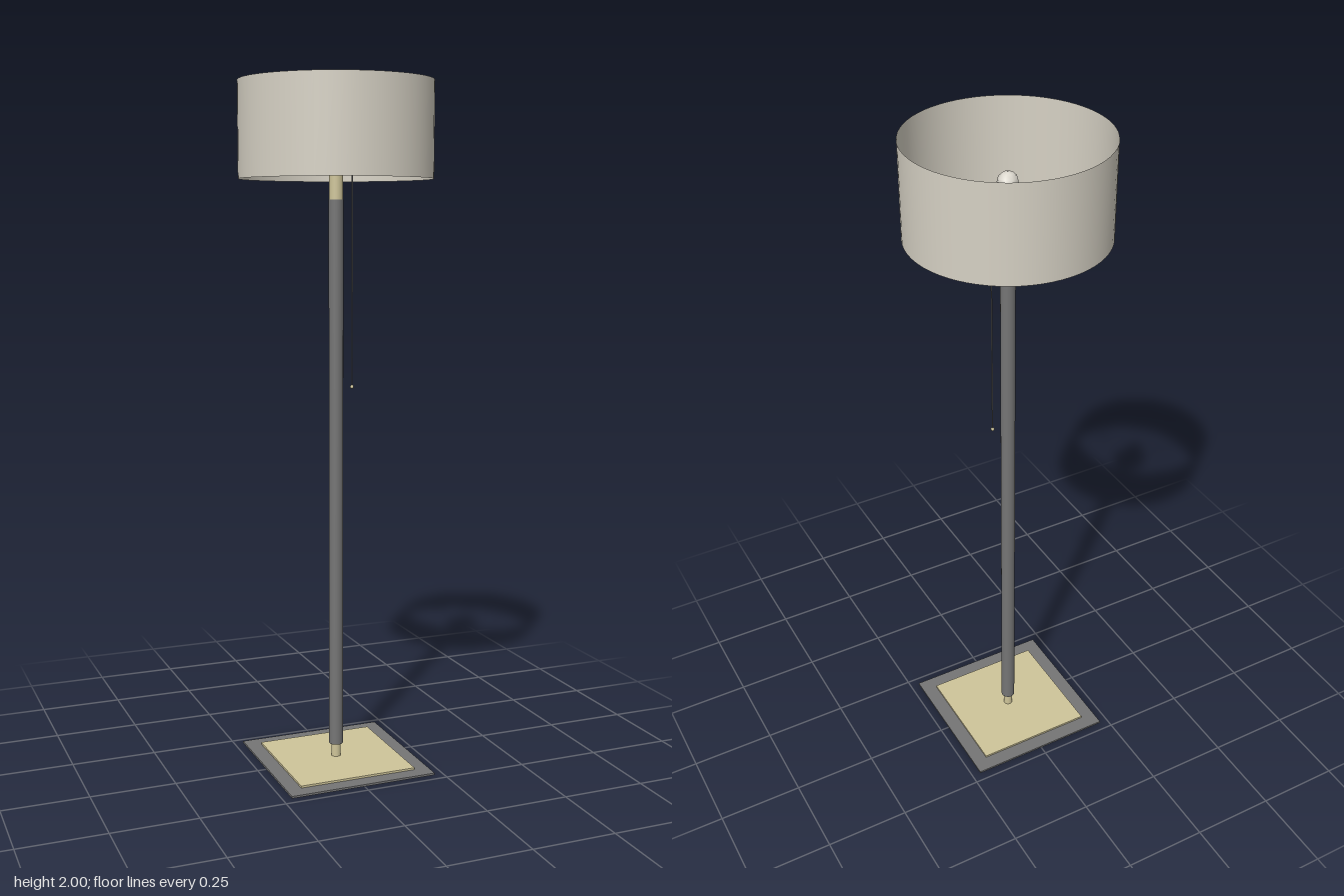
import * as THREE from 'three';

export function createModel() {
  const group = new THREE.Group();
  const material = (name, color, side = THREE.FrontSide) => {
    const m = new THREE.MeshStandardMaterial({ color, side });
    m.name = name;
    return m;
  };
  const darkMetal = material('dark metal', 0x757575);
  const brass = material('brass', 0xcfc59a, THREE.DoubleSide);
  const fabric = material('shade fabric', 0xd6d1c4, THREE.DoubleSide);
  const glass = material('bulb glass', 0xdad6cc);

  const add = (name, geometry, mat, x = 0, y = 0, z = 0) => {
    const mesh = new THREE.Mesh(geometry, mat);
    mesh.name = name;
    mesh.position.set(x, y, z);
    group.add(mesh);
    return mesh;
  };
  // Upright rod between two heights
  const rod = (name, radius, y0, y1, mat, x = 0, sides = 20) =>
    add(name, new THREE.CylinderGeometry(radius, radius, y1 - y0, sides), mat, x, (y0 + y1) / 2);
  const lathe = (points, sides) =>
    new THREE.LatheGeometry(points.map(([r, y]) => new THREE.Vector2(r, y)), sides);

  // Square foot with a brass inlay plate
  add('basePlate', new THREE.BoxGeometry(0.446, 0.006, 0.446), darkMetal, 0, 0.003);
  add('baseInlay', new THREE.BoxGeometry(0.357, 0.006, 0.357), brass, 0, 0.009);

  // Pole with brass collars
  rod('lowerCollar', 0.014, 0.012, 0.052, brass);
  rod('pole', 0.021, 0.052, 1.67, darkMetal);
  rod('upperCollar', 0.02, 1.67, 1.788, brass);

  // Shallow dish, open underneath
  add('dishTop', new THREE.CylinderGeometry(0.0625, 0.0625, 0.003, 40), brass, 0, 1.7885);
  add('dishRim', new THREE.CylinderGeometry(0.0625, 0.0625, 0.022, 40, 1, true), brass, 0, 1.777);

  // Four spokes carrying the shade
  for (let i = 0; i < 4; i++) {
    const a = (i * Math.PI) / 2;
    const spoke = add('spoke', new THREE.CylinderGeometry(0.0017, 0.0017, 0.21, 8), darkMetal,
      Math.cos(a) * 0.166, 1.775, -Math.sin(a) * 0.166);
    spoke.rotation.set(0, a, Math.PI / 2);
  }

  // Bulb and its socket
  rod('socket', 0.014, 1.79, 1.815, brass);
  add('bulb', lathe([[0.013, 1.81], [0.016, 1.83], [0.025, 1.855], [0.03, 1.875],
    [0.026, 1.891], [0.015, 1.902], [0, 1.906]], 8), glass);

  // Open drum shade
  add('shade', new THREE.CylinderGeometry(0.278, 0.278, 0.272, 64, 1, true), fabric, 0, 1.864);

  // Pull cord with a small knob
  rod('pullCord', 0.002, 1.135, 1.788, darkMetal, 0.05, 8);
  add('cordKnob', new THREE.SphereGeometry(0.0055, 10, 8), brass, 0.05, 1.132);

  return group;
}
